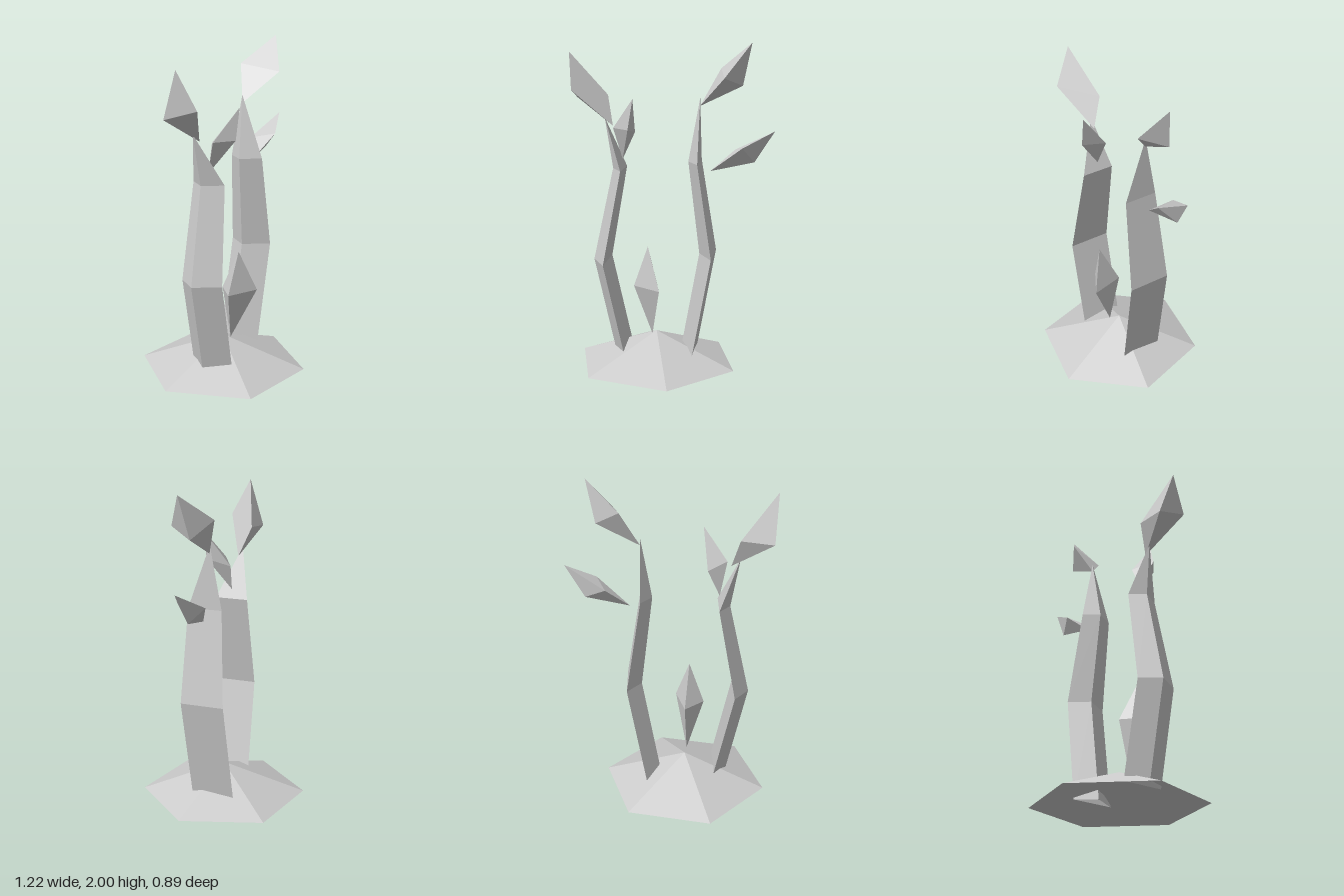
import * as THREE from 'three';

const material = new THREE.MeshStandardMaterial({ color: 0xcccccc, flatShading: true, side: THREE.DoubleSide });

// Three-sided skin through rings listed from bottom to top; a ring of one point is a tip.
function loft(name, rings) {
  const r = rings.map(ring => [0, 1, 2].map(i => new THREE.Vector3(...ring[i % ring.length])));
  const [a, b, c] = r[1];
  const normal = b.clone().sub(a).cross(c.clone().sub(a));
  const axis = r[r.length - 1][0].clone().sub(r[0][0]);
  if (normal.dot(axis) < 0) r.forEach(ring => ring.reverse());
  const points = [];
  for (let k = 0; k + 1 < r.length; k++) {
    for (let i = 0; i < 3; i++) {
      const j = (i + 1) % 3, low = r[k], high = r[k + 1];
      if (rings[k].length > 1) points.push(low[i], low[j], high[j]);
      if (rings[k + 1].length > 1) points.push(low[i], high[j], high[i]);
      else if (rings[k].length > 1) points[points.length - 1] = high[0];
    }
  }
  const geometry = new THREE.BufferGeometry().setFromPoints(points);
  geometry.computeVertexNormals();
  const mesh = new THREE.Mesh(geometry, material);
  mesh.name = name;
  return mesh;
}

// Slanted triangular cross-section of a stalk
const section = ([x, y, z, s]) =>
  [[0.062, 0.13], [0, -0.13], [-0.062, 0]].map(([dx, dz]) => [x + dx * s, y, z + dz * s]);

const stalk = (name, centres, tip) => loft(name, [...centres.map(section), [tip]]);

// Faceted bud: base point, three shoulder points, tip
const bud = (name, base, shoulders, tip) => loft(name, [[base], shoulders, [tip]]);

export function createModel() {
  const model = new THREE.Group();
  model.name = 'sproutingPlant';

  // Hexagonal mound, open underneath
  const cone = new THREE.ConeGeometry(0.515, 0.195, 6, 1, true);
  cone.rotateY(Math.PI / 6).translate(-0.1, 0.0975, 0);
  const mound = new THREE.Mesh(cone, material);
  mound.name = 'mound';
  model.add(mound);

  // Bent stalks: centre x, y, z and scale of each section
  model.add(
    stalk('leftStalk', [[0.1, 0.065, -0.065, 1], [0.222, 0.71, -0.065, 1], [0.145, 1.285, -0.035, 0.78]],
      [0.16, 1.67, -0.065]),
    stalk('rightStalk', [[-0.298, 0.08, 0.065, 1], [-0.421, 0.648, 0.097, 1], [-0.312, 1.23, 0.065, 0.77]],
      [-0.415, 1.54, 0.06]),
  );

  // Buds
  model.add(
    bud('centreBud', [-0.1, 0.195, 0.065],
      [[-0.195, 0.515, 0.13], [0, 0.515, 0.193], [-0.1, 0.515, 0]], [-0.1, 0.775, 0.13]),
    bud('upperLeftBud', [0.16, 1.62, -0.063],
      [[0.257, 1.84, -0.16], [0.357, 1.8, 0.063], [0.415, 1.746, -0.1]], [0.48, 2, -0.065]),
    bud('lowerLeftBud', [0.228, 1.23, -0.063],
      [[0.352, 1.355, -0.16], [0.44, 1.385, -0.03], [0.484, 1.29, -0.13]], [0.608, 1.483, -0.13]),
    bud('upperRightBud', [-0.36, 1.49, 0.06],
      [[-0.42, 1.67, 0], [-0.553, 1.714, 0.226], [-0.615, 1.65, 0.03]], [-0.615, 1.935, 0.128]),
    bud('lowerRightBud', [-0.294, 1.29, 0.065],
      [[-0.325, 1.487, 0.13], [-0.2, 1.487, 0.193], [-0.225, 1.455, 0.033]], [-0.166, 1.674, 0.193]),
  );
  return model;
}
